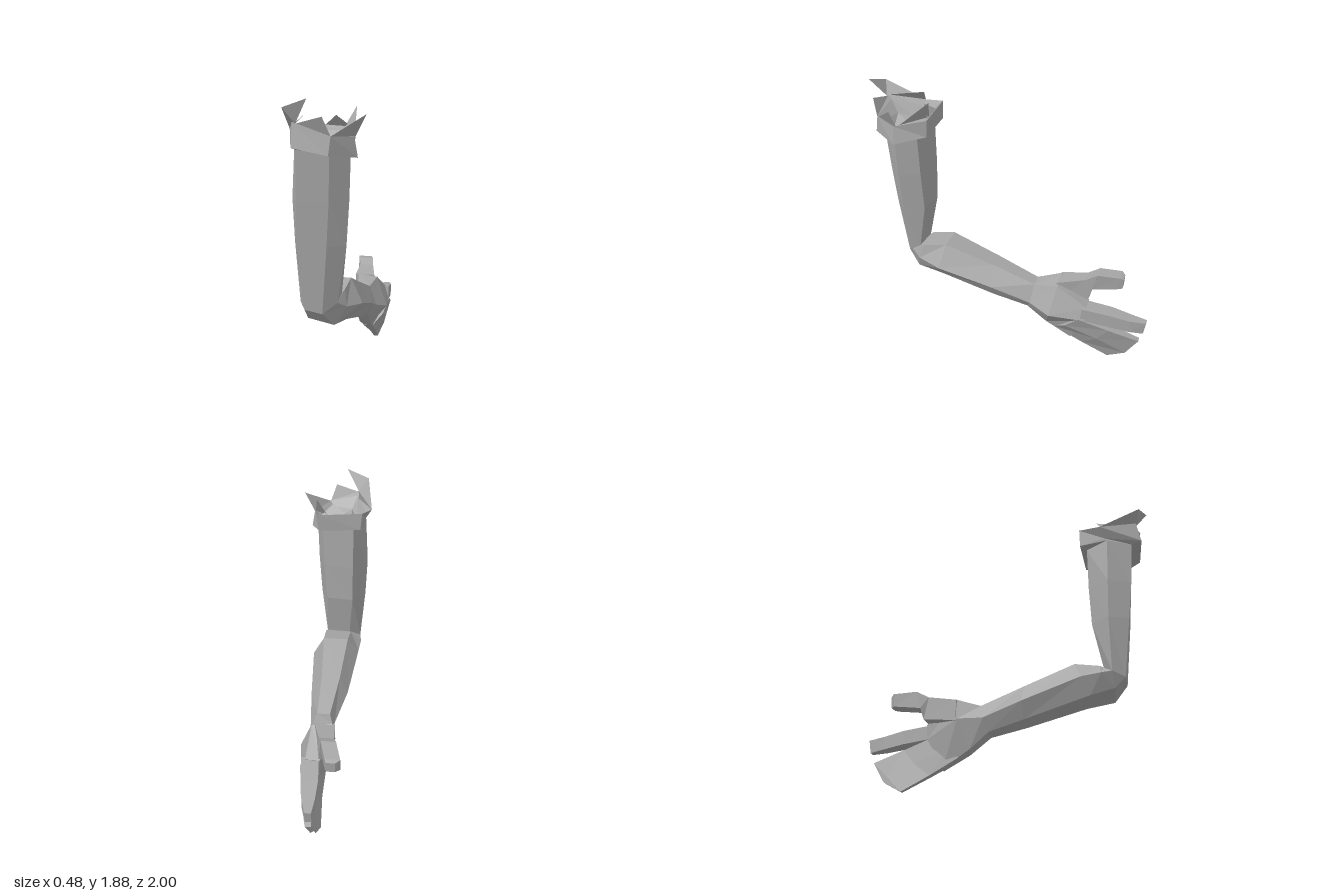
import * as THREE from 'three';

const grey = new THREE.MeshStandardMaterial({ color: 0xa6a6a6, flatShading: true, side: THREE.DoubleSide });
grey.name = 'plain grey';

function makeMesh(name, positions) {
  const g = new THREE.BufferGeometry();
  g.setAttribute('position', new THREE.Float32BufferAttribute(positions, 3));
  g.computeVertexNormals();
  const mesh = new THREE.Mesh(g, grey);
  mesh.name = name;
  return mesh;
}

// Joins closed cross-sections; each ring runs counter-clockwise seen along the path.
function loft(name, rings, capStart, capEnd) {
  const out = [];
  const tri = (a, b, c) => out.push(...a, ...b, ...c);
  for (let i = 0; i < rings.length - 1; i++) {
    const a = rings[i], b = rings[i + 1], n = a.length;
    for (let j = 0; j < n; j++) {
      const k = (j + 1) % n;
      tri(a[j], b[j], b[k]);
      tri(a[j], b[k], a[k]);
    }
  }
  const first = rings[0], last = rings[rings.length - 1];
  for (let j = 1; j < first.length - 1; j++) {
    if (capStart) tri(first[0], first[j], first[j + 1]);
    if (capEnd) tri(last[0], last[j + 1], last[j]);
  }
  return makeMesh(name, out);
}

// Shrinks a ring towards the arm's axis and sets or lowers its height
const inset = (ring, s, drop) => ring.map(([x, y, z]) => [-0.03 + (x + 0.03) * s, y - drop, 0.73 + (z - 0.73) * s]);

// Four-sided finger section: [inner x, outer x, bottom y, top y, bottom z, top z]
const section = ([x0, x1, y0, y1, z0, z1]) => [[x0, y0, z0], [x1, y0, z0], [x1, y1, z1], [x0, y1, z1]];

export function createModel() {
  const group = new THREE.Group();
  group.name = 'bentArm';

  // Upper arm, pointing down to the elbow
  const shoulder = [[-0.14, 1.6, 0.88], [0.05, 1.58, 0.86], [0.15, 1.56, 0.75], [0.1, 1.59, 0.61], [-0.12, 1.61, 0.57], [-0.2, 1.62, 0.72]];
  const upper = [[-0.15, 1.3, 0.86], [0.04, 1.3, 0.84], [0.14, 1.3, 0.745], [0.09, 1.3, 0.605], [-0.12, 1.3, 0.57], [-0.22, 1.3, 0.71]];
  const middle = [[-0.16, 1.03, 0.83], [0.02, 1.03, 0.82], [0.12, 1.03, 0.735], [0.07, 1.03, 0.6], [-0.12, 1.03, 0.58], [-0.21, 1.03, 0.7]];
  const elbow = [[-0.13, 0.63, 0.78], [-0.02, 0.61, 0.78], [0.06, 0.67, 0.72], [0.07, 0.72, 0.65], [-0.1, 0.72, 0.64], [-0.18, 0.66, 0.7]];
  group.add(loft('upperArm', [shoulder, upper, middle, elbow], false, false));

  // Forearm, running back to the wrist
  const elbowBend = [[-0.13, 0.56, 0.71], [0.03, 0.52, 0.69], [0.1, 0.63, 0.65], [0.08, 0.73, 0.62], [-0.11, 0.73, 0.62], [-0.19, 0.65, 0.63]];
  const bulge = [[-0.13, 0.525, 0.55], [0.06, 0.505, 0.5], [0.16, 0.61, 0.48], [0.08, 0.765, 0.45], [-0.1, 0.765, 0.45], [-0.18, 0.64, 0.5]];
  const shin = [[-0.07, 0.42, 0.1], [0.07, 0.41, 0.1], [0.135, 0.51, 0.1], [0.06, 0.65, 0.1], [-0.07, 0.65, 0.1], [-0.13, 0.53, 0.1]];
  const wrist = [[-0.02, 0.37, -0.15], [0.06, 0.355, -0.15], [0.11, 0.42, -0.18], [0.06, 0.55, -0.2], [-0.03, 0.555, -0.2], [-0.06, 0.46, -0.18]];
  group.add(loft('forearm', [elbow, elbowBend, bulge, shin, wrist], false, false));

  // Palm, widening then ending at the knuckles
  const palm = [[-0.03, 0.26, -0.27], [0.05, 0.24, -0.29], [0.16, 0.375, -0.33], [0.08, 0.58, -0.37], [-0.06, 0.605, -0.37], [-0.08, 0.46, -0.35]];
  const knuckles = [[0, 0.15, -0.46], [0.045, 0.14, -0.47], [0.13, 0.365, -0.585], [0.1, 0.46, -0.585], [0, 0.46, -0.585], [0.005, 0.36, -0.58]];
  group.add(loft('palm', [wrist, palm, knuckles], false, true));

  // Thumb, raised and bent inwards
  group.add(loft('thumb', [
    [-0.08, 0.06, 0.45, 0.595, -0.36, -0.36],
    [-0.09, 0.01, 0.47, 0.625, -0.58, -0.55],
    [-0.11, -0.01, 0.545, 0.665, -0.6, -0.63],
    [-0.15, -0.05, 0.555, 0.645, -0.77, -0.78],
    [-0.12, -0.06, 0.56, 0.635, -0.8, -0.805],
  ].map(section), true, true));

  // Single finger
  group.add(loft('foreFinger', [
    [0.01, 0.13, 0.365, 0.46, -0.55, -0.56],
    [-0.005, 0.105, 0.335, 0.43, -0.75, -0.75],
    [0, 0.085, 0.31, 0.4, -0.89, -0.89],
    [0.012, 0.055, 0.295, 0.385, -0.985, -1],
  ].map(section), true, true));

  // Remaining fingers held together as one curved slab
  const slab = (xs, ys, zs) => [
    [xs[0], ys[0], zs[0]], [xs[1], ys[0], zs[0]], [xs[3], ys[1], zs[1]],
    [xs[5], ys[2], zs[2]], [xs[4], ys[2], zs[2]], [xs[2], ys[1], zs[1]],
  ];
  group.add(loft('joinedFingers', [
    slab([-0.02, 0.05, -0.01, 0.11, 0.01, 0.14], [0.21, 0.28, 0.375], [-0.35, -0.44, -0.54]),
    slab([-0.01, 0.035, 0.01, 0.09, 0.03, 0.11], [0.105, 0.2, 0.305], [-0.55, -0.67, -0.75]),
    slab([-0.02, 0.01, 0.0, 0.035, 0.02, 0.06], [0.005, 0.08, 0.225], [-0.74, -0.87, -0.96]),
  ], true, true));

  // Torn cuff with a hollow top
  const rimLow = [[-0.15, 1.615, 0.95], [0.06, 1.57, 0.92], [0.19, 1.55, 0.74], [0.12, 1.6, 0.53], [-0.17, 1.62, 0.53], [-0.2, 1.64, 0.7]];
  const rimTop = [[-0.15, 1.76, 0.92], [0.07, 1.68, 0.9], [0.17, 1.67, 0.74], [0.13, 1.72, 0.52], [-0.18, 1.74, 0.53], [-0.24, 1.71, 0.68]];
  group.add(loft('cuff', [inset(rimTop, 0.5, 0.11), inset(rimTop, 0.82, 0.03), rimTop, rimLow, shoulder], true, false));

  // Jagged shards standing on the rim
  const shards = [
    [[-0.13, 1.75, 0.92], [-0.2, 1.84, 0.95], [-0.04, 1.89, 0.995]],
    [[-0.13, 1.75, 0.92], [-0.24, 1.71, 0.68], [-0.2, 1.84, 0.95]],
    [[-0.24, 1.71, 0.68], [-0.13, 1.76, 0.9], [-0.15, 1.8, 0.65]],
    [[-0.13, 1.75, 0.91], [0.07, 1.68, 0.9], [0.03, 1.79, 0.94]],
    [[0.07, 1.68, 0.89], [0.17, 1.67, 0.72], [0.24, 1.8, 0.73]],
    [[0.16, 1.68, 0.7], [0.06, 1.72, 0.53], [0.13, 1.845, 0.5]],
    [[0.1, 1.72, 0.53], [-0.06, 1.73, 0.53], [0.02, 1.79, 0.58]],
  ];
  shards.forEach((s, i) => group.add(makeMesh('cuffShard' + (i + 1), s.flat())));

  return group;
}
